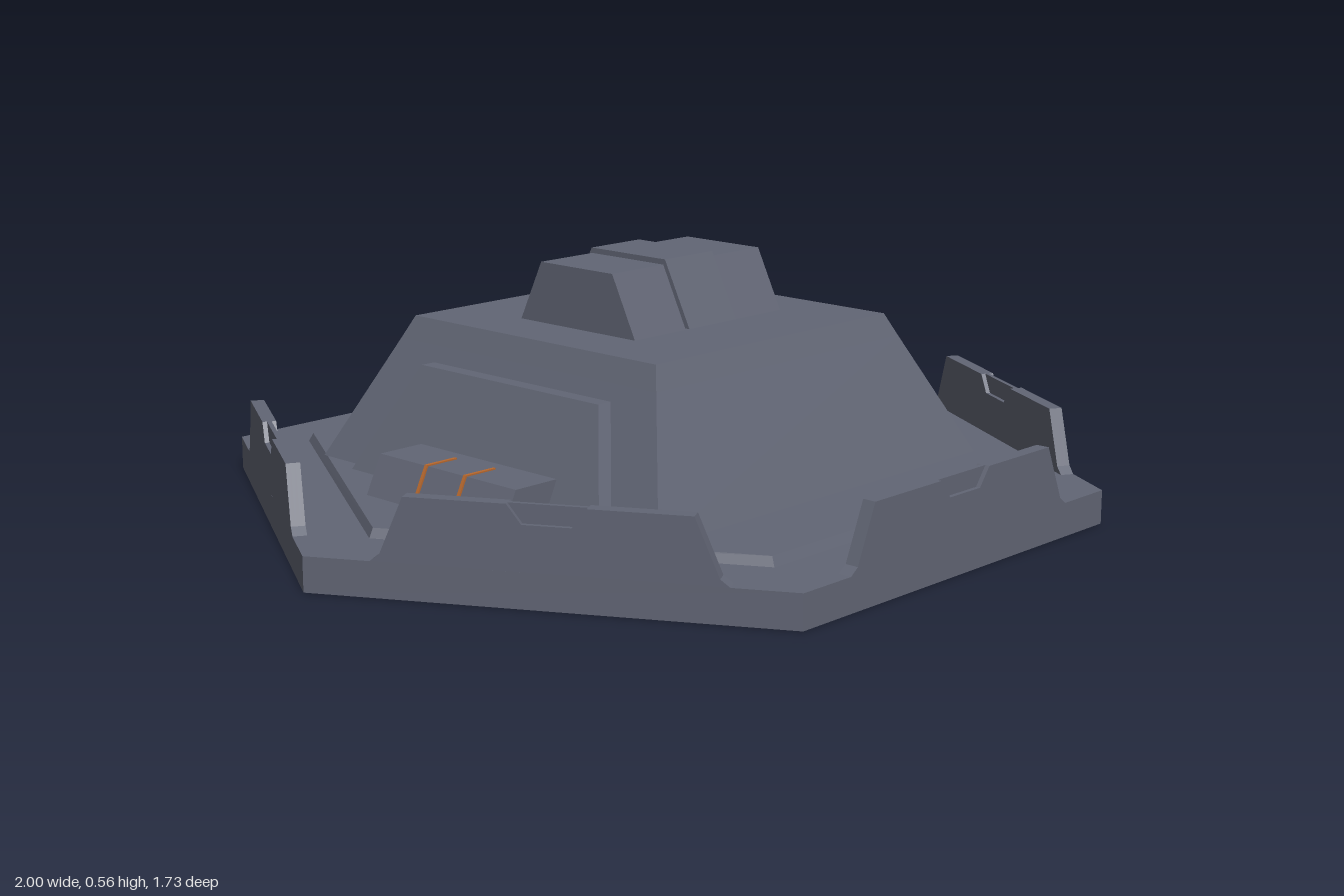
import * as THREE from 'three';

const armour = new THREE.MeshStandardMaterial({ color: 0x626675 });
armour.name = 'slateArmour';
const glow = new THREE.MeshStandardMaterial({ color: 0xb8692f });
glow.name = 'orangeVent';

// Closed, faceted solid through rings [y, [[x, z], ...]], each counterclockwise from above.
function loft(rings) {
  const pos = [];
  const n = rings[0][1].length;
  const at = (r, i) => [rings[r][1][i % n][0], rings[r][0], rings[r][1][i % n][1]];
  const tri = (a, b, c) => pos.push(...a, ...b, ...c);
  for (let r = 0; r < rings.length - 1; r++) {
    for (let i = 0; i < n; i++) {
      tri(at(r, i), at(r, i + 1), at(r + 1, i + 1));
      tri(at(r, i), at(r + 1, i + 1), at(r + 1, i));
    }
  }
  const cap = (r, up) => {
    const contour = rings[r][1].map(([x, z]) => new THREE.Vector2(x, -z));
    for (const [a, b, c] of THREE.ShapeUtils.triangulateShape(contour, [])) {
      if (up) tri(at(r, a), at(r, b), at(r, c));
      else tri(at(r, a), at(r, c), at(r, b));
    }
  };
  cap(0, false);
  cap(rings.length - 1, true);
  const g = new THREE.BufferGeometry();
  g.setAttribute('position', new THREE.Float32BufferAttribute(pos, 3));
  g.computeVertexNormals();
  return g;
}

const rect = (x0, x1, z0, z1) => [[x1, z1], [x1, z0], [x0, z0], [x0, z1]];

function hex(rx, rz) {
  return [[rx, 0], [rx / 2, -rz], [-rx / 2, -rz], [-rx, 0], [-rx / 2, rz], [rx / 2, rz]];
}

// Bunker outline: straight front, back bent inward by `dent` around the doorway.
function bunkerRing(x, z0, z1, shoulder, door, dent) {
  return [
    [x, z1], [x, z0], [shoulder, z0], [door, z0 + dent],
    [-door, z0 + dent], [-shoulder, z0], [-x, z0], [-x, z1],
  ];
}

function extrude(points, depth) {
  const shape = new THREE.Shape(points.map(([x, y]) => new THREE.Vector2(x, y)));
  return new THREE.ExtrudeGeometry(shape, { depth, bevelEnabled: false });
}

export function createModel() {
  const model = new THREE.Group();
  model.name = 'bunker';
  const add = (name, geometry, material = armour, parent = model) => {
    const mesh = new THREE.Mesh(geometry, material);
    mesh.name = name;
    parent.add(mesh);
    return mesh;
  };

  // Hexagonal foundation with a low raised floor
  add('foundation', loft([[0, hex(1, 0.866)], [0.075, hex(1, 0.866)]]));
  add('raisedFloor', loft([[0.075, hex(0.83, 0.72)], [0.095, hex(0.82, 0.71)]]));

  // Parapets on five edges, leaving the back open; notched skins on a plain core
  const core = [[-0.36, 0.075], [0.36, 0.075], [0.34, 0.09], [0.29, 0.21], [-0.29, 0.21], [-0.34, 0.09]];
  const notched = [
    ...core.slice(0, 4),
    [0.08, 0.21], [0.05, 0.17], [-0.05, 0.17], [-0.08, 0.21],
    ...core.slice(4),
  ];
  for (const k of [-2, -1, 0, 1, 2]) {
    const wall = new THREE.Group();
    wall.name = 'parapet';
    wall.rotation.y = k * Math.PI / 3;
    model.add(wall);
    [notched, core, notched].forEach((outline, i) => {
      const layer = add(i === 1 ? 'parapetCore' : 'parapetSkin', extrude(outline, 0.01), armour, wall);
      layer.position.z = 0.836 + i * 0.01;
    });
  }

  // Sloped main building with a recessed back doorway
  add('mainBuilding', loft([
    [0.095, bunkerRing(0.52, -0.53, 0.51, 0.26, 0.16, 0.03)],
    [0.365, bunkerRing(0.393, -0.403, 0.383, 0.18, 0.11, 0.004)],
    [0.415, bunkerRing(0.37, -0.38, 0.36, 0.17, 0.10, 0)],
  ]));

  // Raised side panels and vent housings
  for (const s of [-1, 1]) {
    const side = (a, b, z0, z1) => rect(Math.min(s * a, s * b), Math.max(s * a, s * b), z0, z1);
    add('sidePanel', loft([
      [0.095, side(0.4, 0.555, -0.39, 0.38)],
      [0.33, side(0.36, 0.445, -0.275, 0.27)],
    ]));

    const zMid = s > 0 ? -0.015 : 0.01;
    add('ventHousing', loft([
      [0.095, side(0.5, 0.67, zMid - 0.21, zMid + 0.21)],
      [0.178, side(0.5, 0.63, zMid - 0.21, zMid + 0.21)],
    ]));
    for (const z of s > 0 ? [-0.08, 0.045] : [-0.05, 0.07]) {
      add('ventSlit', loft([
        [0.1, side(0.56, 0.672, z - 0.004, z + 0.004)],
        [0.181, side(0.55, 0.633, z - 0.004, z + 0.004)],
      ]), glow);
    }
  }

  // Roof cabin with a slightly larger central band
  add('roofCabin', loft([
    [0.415, rect(-0.23, 0.24, -0.185, 0.165)],
    [0.55, rect(-0.23, 0.24, -0.12, 0.098)],
  ]));
  add('roofCabinBand', loft([
    [0.418, rect(-0.072, 0.08, -0.197, 0.176)],
    [0.562, rect(-0.072, 0.08, -0.122, 0.103)],
  ]));

  return model;
}
